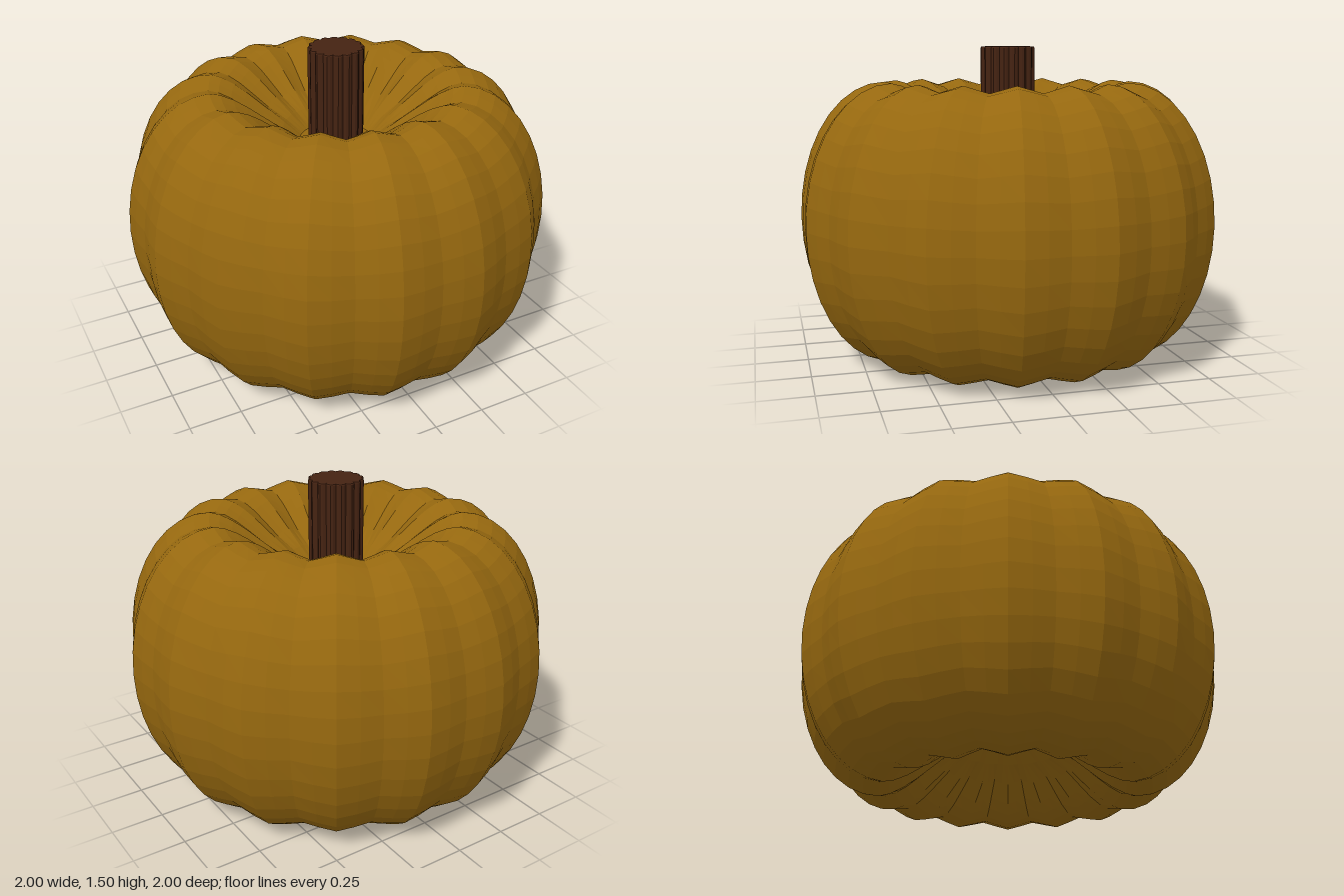
import * as THREE from 'three';

const LOBES = 16;
const MID = 0.665; // half the height of the body

// Faceted look: every face gets its own normal
function faceted(geometry) {
  const g = geometry.index ? geometry.toNonIndexed() : geometry;
  g.computeVertexNormals();
  return g;
}

// Lathed body with a funnel at both ends, then creased into lobes
function bodyGeometry() {
  const funnel = [[0, 0.3], [0.175, 0.3], [0.25, 0.23], [0.34, 0.155], [0.43, 0.083], [0.49, 0.042], [0.55, 0.012]];
  const points = funnel.map(([r, y]) => new THREE.Vector2(r, y));
  const rows = 18;
  for (let i = 0; i <= rows; i++) {
    const t = -Math.PI / 2 + (Math.PI * i) / rows;
    points.push(new THREE.Vector2(0.6 + 0.42 * Math.cos(t), MID + MID * Math.sin(t)));
  }
  funnel.slice().reverse().forEach(([r, y]) => points.push(new THREE.Vector2(r, 2 * MID - y)));

  const g = new THREE.LatheGeometry(points, LOBES * 4);
  const pos = g.attributes.position;
  for (let i = 0; i < pos.count; i++) {
    const x = pos.getX(i), y = pos.getY(i), z = pos.getZ(i);
    const r = Math.hypot(x, z);
    if (r < 0.17) continue;
    const angle = Math.atan2(x, z);
    // Creases sink toward the core ring and fade out at the funnel floor
    const valley = (1 + Math.cos(LOBES * angle)) / 2;
    const depth = 0.033 * valley * THREE.MathUtils.smoothstep(r, 0.175, 0.4);
    const toCore = new THREE.Vector2(0.58 - r, MID - y).normalize().multiplyScalar(depth);
    const nr = r + toCore.x;
    pos.setXYZ(i, nr * Math.sin(angle), y + toCore.y, nr * Math.cos(angle));
  }
  return faceted(g);
}

// Fluted stem with a small bevel around its top
function stemGeometry() {
  const flutes = 16, steps = 6, bevel = 0.008;
  const outline = [];
  for (let i = 0; i < flutes * steps; i++) {
    const a = (i / (flutes * steps)) * Math.PI * 2;
    const r = 0.107 + 0.017 * Math.abs(Math.sin((a * flutes) / 2 + Math.PI / 2));
    outline.push(new THREE.Vector2(r * Math.cos(a), r * Math.sin(a)));
  }
  const g = new THREE.ExtrudeGeometry(new THREE.Shape(outline), {
    depth: 0.5 - 2 * bevel, bevelEnabled: true, bevelSize: bevel, bevelThickness: bevel, bevelSegments: 2,
  });
  g.rotateX(-Math.PI / 2);
  g.translate(0, 1 + bevel, 0);
  return faceted(g);
}

export function createModel() {
  const skin = new THREE.MeshStandardMaterial({ color: 0x96680f });
  skin.name = 'ochre skin';
  const wood = new THREE.MeshStandardMaterial({ color: 0x452312 });
  wood.name = 'dark brown stem';

  const model = new THREE.Group();
  model.name = 'pumpkin';
  const body = new THREE.Mesh(bodyGeometry(), skin);
  body.name = 'ribbedBody';
  const stem = new THREE.Mesh(stemGeometry(), wood);
  stem.name = 'stem';
  model.add(body, stem);
  return model;
}
